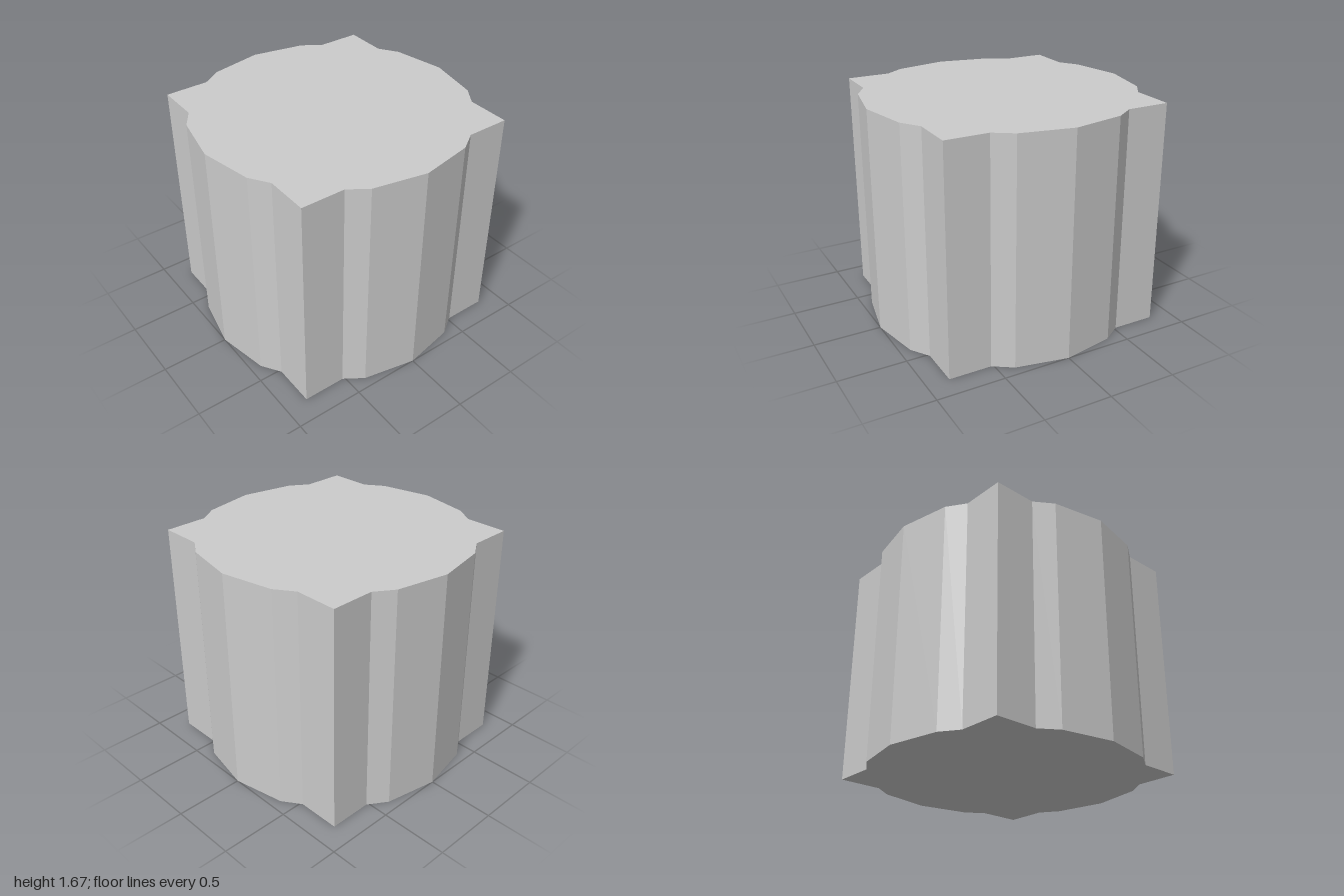
import * as THREE from 'three';

const HALF = 0.833; // half width of the cube
const HEIGHT = 1.667;

// Outline of a square merged with a 16-sided circle of radius 1
function outline() {
  const a = Math.PI / 8;
  const c = Math.cos(a), s = Math.sin(a), d = Math.SQRT1_2;
  // where the circle's side meets the square's edge
  const t = (c - HALF) / (c - d);
  const m = s + (d - s) * t;
  const quarter = [[1, 0], [c, s], [HALF, m], [HALF, HALF], [m, HALF], [s, c]];
  const points = [];
  for (let i = 0; i < 4; i++) {
    for (const [x, y] of quarter) {
      points.push(new THREE.Vector2(x, y).rotateAround(new THREE.Vector2(), i * Math.PI / 2));
    }
  }
  return new THREE.Shape(points);
}

export function createModel() {
  const group = new THREE.Group();
  group.name = 'block';

  // Upright prism standing on the ground
  const geometry = new THREE.ExtrudeGeometry(outline(), { depth: HEIGHT, bevelEnabled: false });
  geometry.rotateX(-Math.PI / 2);
  const body = new THREE.Mesh(
    geometry,
    new THREE.MeshStandardMaterial({ color: 0xcccccc, flatShading: true })
  );
  body.name = 'body';
  group.add(body);

  return group;
}
